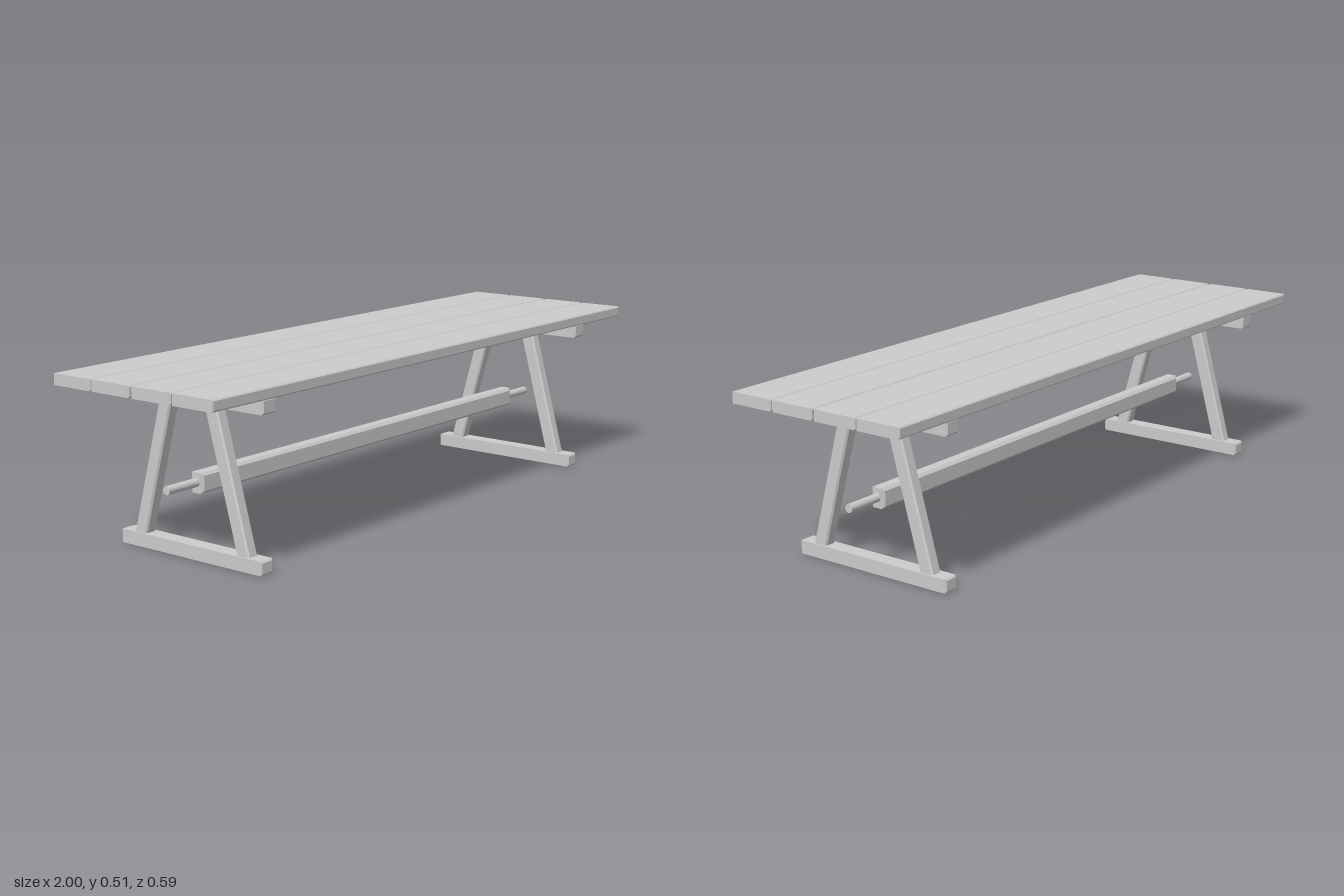
import * as THREE from 'three';

const material = new THREE.MeshStandardMaterial({ color: 0xcccccc, flatShading: true });

// Box with chamfered edges, centred on the origin
function chamferBox(w, h, d, c) {
  const x = w / 2 - c, y = h / 2 - c;
  const shape = new THREE.Shape([
    new THREE.Vector2(-x, -y), new THREE.Vector2(x, -y),
    new THREE.Vector2(x, y), new THREE.Vector2(-x, y),
  ]);
  const geo = new THREE.ExtrudeGeometry(shape, {
    depth: d - 2 * c, bevelEnabled: true, bevelSize: c, bevelThickness: c, bevelSegments: 1,
  });
  return geo.translate(0, 0, c - d / 2);
}

function add(parent, name, geo, x, y, z) {
  const mesh = new THREE.Mesh(geo, material);
  mesh.name = name;
  mesh.position.set(x, y, z);
  parent.add(mesh);
  return mesh;
}

export function createModel() {
  const table = new THREE.Group();
  table.name = 'trestleTable';

  // Four top planks with narrow gaps
  const plank = chamferBox(2, 0.033, 0.144, 0.004);
  for (const z of [0.2225, 0.0755, -0.0745, -0.221]) add(table, 'topPlank', plank, 0, 0.4985, z);

  // Leg leaning inwards: a box sheared along z as it rises
  const leg = chamferBox(0.038, 0.43, 0.046, 0.005);
  leg.applyMatrix4(new THREE.Matrix4().set(1, 0, 0, 0, 0, 1, 0, 0, 0, -0.275, 1, 0, 0, 0, 0, 1));
  const foot = chamferBox(0.048, 0.04, 0.53, 0.005);
  const crossbar = chamferBox(0.054, 0.043, 0.56, 0.005);
  const peg = new THREE.CylinderGeometry(0.0125, 0.0125, 0.145, 16).rotateZ(Math.PI / 2);

  // Two end trestles
  for (const side of [-1, 1]) {
    const trestle = new THREE.Group();
    trestle.name = side > 0 ? 'leftTrestle' : 'rightTrestle';
    trestle.position.x = side * 0.77;
    table.add(trestle);
    add(trestle, 'foot', foot, 0, 0.02, 0);
    add(trestle, 'crossbar', crossbar, 0, 0.4605, 0);
    add(trestle, 'frontLeg', leg, 0, 0.24, 0.138);
    add(trestle, 'backLeg', leg, 0, 0.24, -0.138).rotation.y = Math.PI;
    // Round peg out of the end of the stretcher
    add(trestle, 'peg', peg, side * 0.0325, 0.209, 0);
  }

  // Long stretcher beam between the trestles
  add(table, 'stretcher', chamferBox(1.52, 0.059, 0.046, 0.008), 0, 0.208, 0);
  return table;
}
